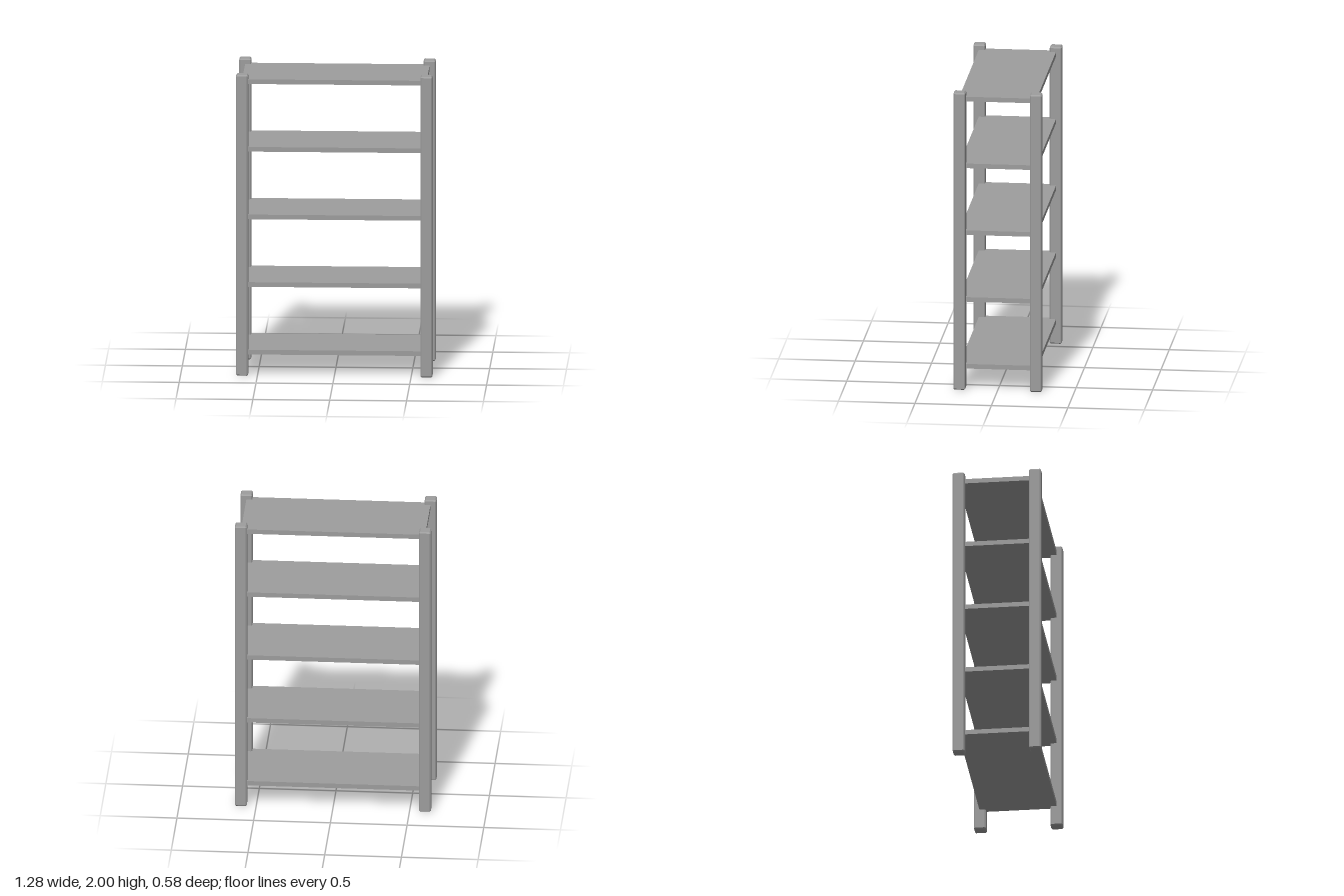
import * as THREE from 'three';
import { ConvexGeometry } from 'three/addons/geometries/ConvexGeometry.js';

// Box with a flat chamfer on every edge and corner
function chamferedBox(width, height, depth, chamfer) {
  const points = [];
  for (const sx of [-1, 1]) for (const sy of [-1, 1]) for (const sz of [-1, 1]) {
    const x = width / 2, y = height / 2, z = depth / 2;
    for (const [px, py, pz] of [
      [x, y - chamfer, z - chamfer],
      [x - chamfer, y, z - chamfer],
      [x - chamfer, y - chamfer, z],
    ]) points.push(new THREE.Vector3(sx * px, sy * py, sz * pz));
  }
  return new ConvexGeometry(points);
}

export function createModel() {
  const group = new THREE.Group();
  group.name = 'shelvingUnit';
  const material = new THREE.MeshStandardMaterial({ color: 0x9d9d9d });
  const halfWidth = 0.6, halfDepth = 0.25;

  const add = (name, geometry, x, y, z) => {
    const mesh = new THREE.Mesh(geometry, material);
    mesh.name = name;
    mesh.position.set(x, y, z);
    group.add(mesh);
  };

  // Four square corner posts with a narrow chamfer on every edge
  const post = chamferedBox(0.078, 2, 0.078, 0.008);
  for (const [side, sx] of [['Left', 1], ['Right', -1]]) {
    for (const [end, sz] of [['front', 1], ['back', -1]]) {
      add(`${end}${side}Post`, post, sx * halfWidth, 1, sz * halfDepth);
    }
  }

  // Five evenly spaced thin shelves, their corners let into the posts
  const shelf = new THREE.BoxGeometry(2 * halfWidth, 0.031, 0.505);
  for (let i = 0; i < 5; i++) {
    add(`shelf${i + 1}`, shelf, 0, 0.151 + 0.45 * i, 0);
  }
  return group;
}
